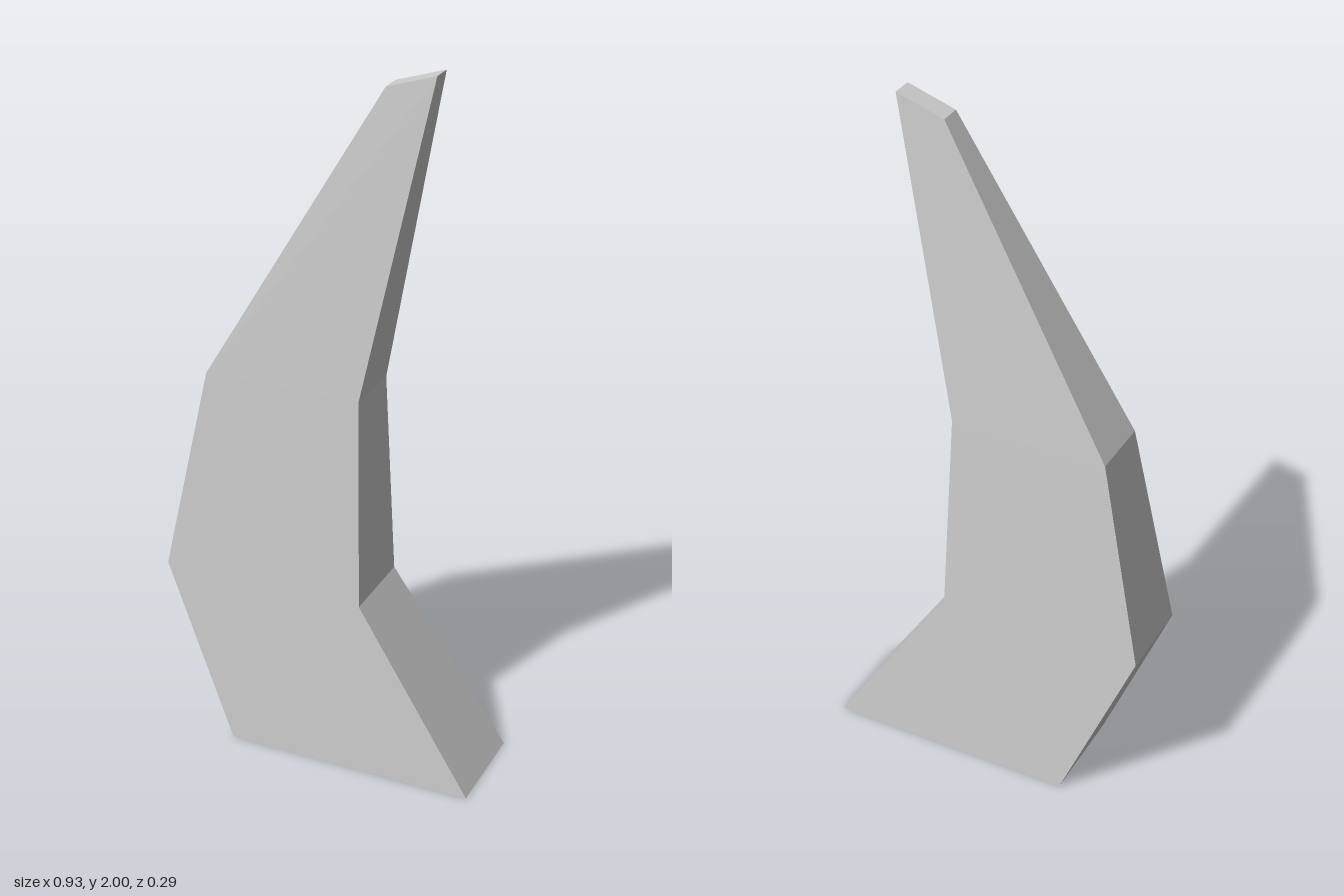
import * as THREE from 'three';

// Cross-sections from base to tip: [xLeft, yLeft, xRight, yRight, halfDepth]
const SECTIONS = [
  [-0.255, 0, 0.463, 0, 0.147],
  [-0.463, 0.513, 0.126, 0.513, 0.121],
  [-0.34, 1.112, 0.108, 1.112, 0.091],
  [0.15, 1.956, 0.286, 2, 0.03],
];

// Skins four-cornered rings and closes both ends
function loft(sections) {
  const rings = sections.map(([x0, y0, x1, y1, d]) => [
    [x0, y0, d], [x1, y1, d], [x1, y1, -d], [x0, y0, -d],
  ]);
  const positions = [];
  const quad = (a, b, c, d) => positions.push(...a, ...b, ...c, ...a, ...c, ...d);

  for (let i = 0; i < rings.length - 1; i++) {
    for (let j = 0; j < 4; j++) {
      const k = (j + 1) % 4;
      quad(rings[i][j], rings[i][k], rings[i + 1][k], rings[i + 1][j]);
    }
  }
  quad(...[...rings[0]].reverse());
  quad(...rings[rings.length - 1]);

  const geometry = new THREE.BufferGeometry();
  geometry.setAttribute('position', new THREE.Float32BufferAttribute(positions, 3));
  geometry.computeVertexNormals();
  return geometry;
}

export function createModel() {
  const group = new THREE.Group();
  group.name = 'curvedHorn';

  // Tapering, bent horn
  const material = new THREE.MeshStandardMaterial({ color: 0xcccccc, flatShading: true });
  const horn = new THREE.Mesh(loft(SECTIONS), material);
  horn.name = 'horn';
  group.add(horn);
  return group;
}
